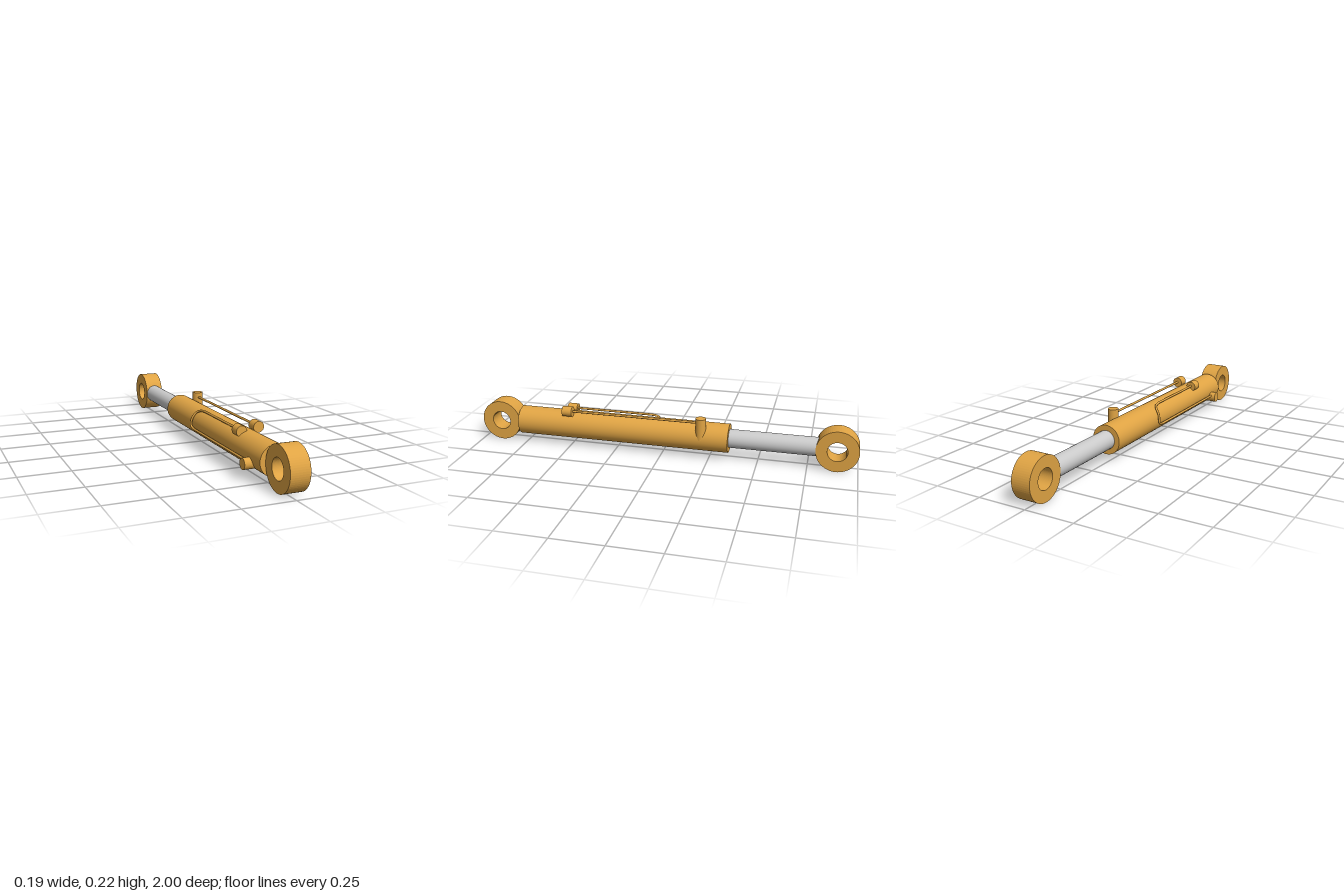
import * as THREE from 'three';

const CX = 0.016, CY = 0.108; // cylinder axis

export function createModel() {
  const model = new THREE.Group();
  model.name = 'hydraulicCylinder';
  const paint = new THREE.MeshStandardMaterial({ color: 0xe0a444 });
  const steel = new THREE.MeshStandardMaterial({ color: 0xcccccc });

  const add = (name, geometry, material = paint) => {
    const mesh = new THREE.Mesh(geometry, material);
    mesh.name = name;
    model.add(mesh);
    return mesh;
  };

  // Solid cylinder between two points
  const bar = (name, a, b, radius, sides = 24, material = paint) => {
    const from = new THREE.Vector3(...a), to = new THREE.Vector3(...b);
    const dir = to.clone().sub(from);
    const mesh = add(name, new THREE.CylinderGeometry(radius, radius, dir.length(), sides), material);
    mesh.position.copy(from).add(to).multiplyScalar(0.5);
    mesh.quaternion.setFromUnitVectors(new THREE.Vector3(0, 1, 0), dir.normalize());
    return mesh;
  };

  // Barrel and piston rod
  bar('barrel', [CX, CY, 0.785], [CX, CY, -0.35], 0.075, 40);
  bar('pistonRod', [CX, CY, -0.34], [CX, CY, -0.82], 0.048, 32, steel);

  // Mounting eyes: flat rings with a pin hole along x
  const addEye = (name, z) => {
    const ring = new THREE.Shape().absarc(0, 0, 0.107, 0, Math.PI * 2, false);
    ring.holes.push(new THREE.Path().absarc(0, 0, 0.05, 0, Math.PI * 2, true));
    const geometry = new THREE.ExtrudeGeometry(ring, { depth: 0.097, bevelEnabled: false, curveSegments: 32 });
    geometry.translate(0, 0, -0.0485).rotateY(Math.PI / 2);
    add(name, geometry).position.set(CX, CY, z);
  };
  addEye('barrelEye', 0.893);
  addEye('rodEye', -0.893);

  // Ports
  bar('rodEndPort', [0.065, 0.11, -0.208], [0.065, 0.222, -0.208], 0.027);
  bar('baseEndPort', [-0.093, 0.078, 0.682], [-0.02, 0.078, 0.682], 0.027);

  // Hose connectors on top, each on a small foot
  for (const [side, x, y] of [['left', 0.064, 0.195], ['right', -0.023, 0.182]]) {
    bar(side + 'Connector', [x, y, 0.48], [x, y, 0.532], 0.027);
    bar(side + 'ConnectorFoot', [x, y, 0.506], [(x + CX) / 2, (y + CY) / 2, 0.506], 0.016, 12);
  }

  // Straight pipe to the rod end
  bar('rodEndPipe', [0.064, 0.197, -0.208], [0.064, 0.197, 0.49], 0.006, 10);

  // Bent pipe: forward along the top, round the barrel, back along the side
  const onBarrel = (angle, z) => new THREE.Vector3(
    CX + 0.086 * Math.cos(angle), CY + 0.086 * Math.sin(angle), z);
  const top = 2.04, low = 3.38;
  const route = new THREE.CurvePath();
  const bendA = [onBarrel(top, 0.1), onBarrel(top + 0.1, 0.062), onBarrel(top + 0.3, 0.042),
    onBarrel(2.7, 0.034), onBarrel(3.08, 0.028), onBarrel(3.27, 0.034), onBarrel(low, 0.065)];
  route.add(new THREE.LineCurve3(onBarrel(top, 0.49), bendA[0]));
  route.add(new THREE.CatmullRomCurve3(bendA));
  route.add(new THREE.LineCurve3(bendA[6], onBarrel(low, 0.68)));
  add('baseEndPipe', new THREE.TubeGeometry(route, 160, 0.006, 10));

  return model;
}
